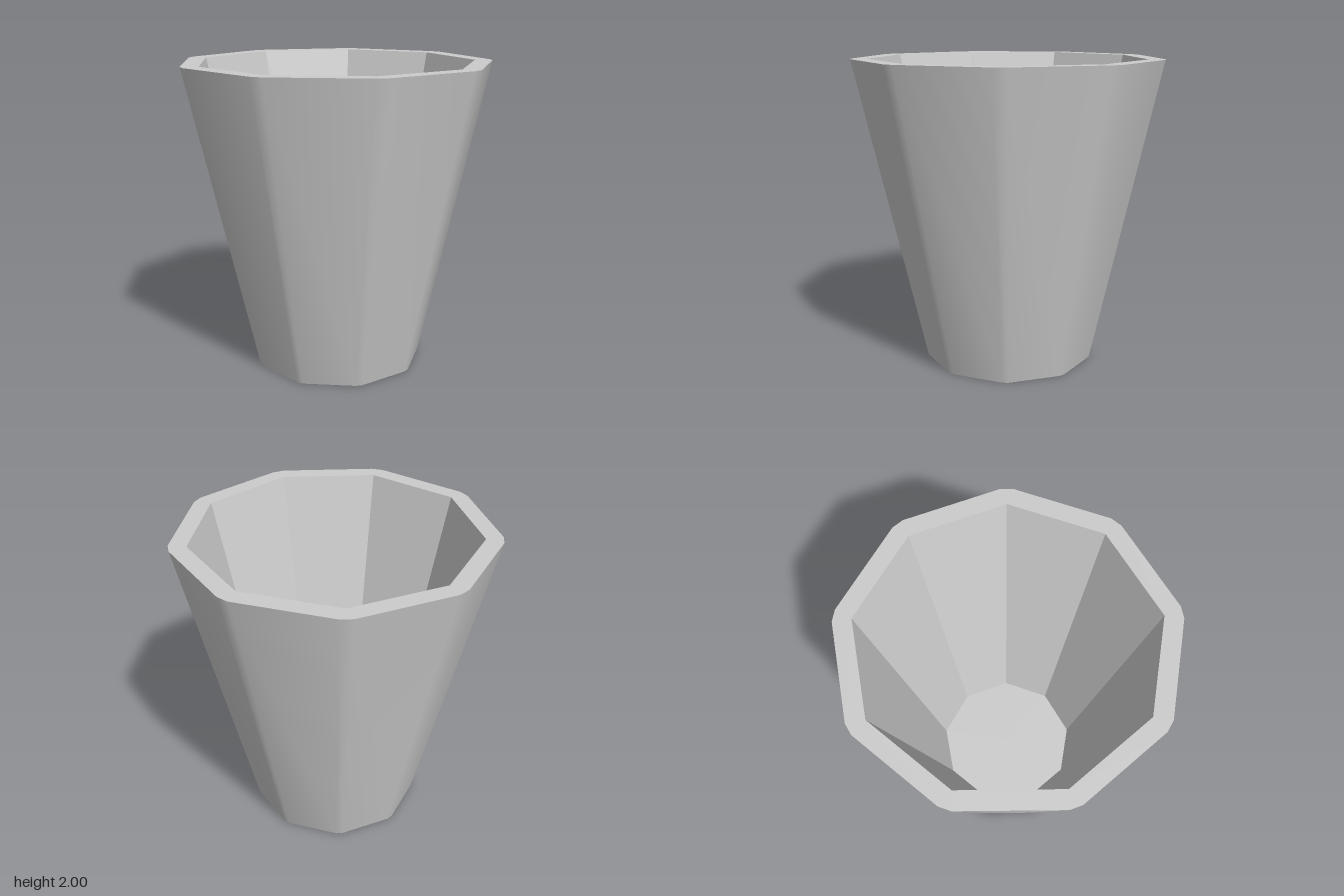
import * as THREE from 'three';
import { toCreasedNormals } from 'three/addons/utils/BufferGeometryUtils.js';

const SIDES = 9, RADIUS = 0.897, SHIFT = -0.022, WALL = 0.112;

// Nonagon pushed out by an offset, with every corner cut by a small bevel
function loop(scale, y, offset = 0) {
  const points = [];
  for (let i = 0; i < SIDES; i++) {
    const corner = (i / SIDES) * Math.PI * 2;
    for (const side of [-1, 1]) {
      const normal = corner + (side * Math.PI) / SIDES;
      points.push(new THREE.Vector3(
        scale * (RADIUS * Math.cos(corner) + SHIFT + offset * Math.cos(normal)),
        y,
        scale * (RADIUS * Math.sin(corner) + offset * Math.sin(normal))
      ));
    }
  }
  return points;
}

// Band of faces between two loops, leaving out collapsed triangles
function band(name, a, b, material) {
  const positions = [];
  const tri = (p, q, r) => {
    if (p.equals(q) || q.equals(r) || p.equals(r)) return;
    for (const v of [p, q, r]) positions.push(v.x, v.y, v.z);
  };
  for (let i = 0; i < a.length; i++) {
    const j = (i + 1) % a.length;
    tri(a[i], b[i], b[j]);
    tri(a[i], b[j], a[j]);
  }
  const geometry = new THREE.BufferGeometry();
  geometry.setAttribute('position', new THREE.Float32BufferAttribute(positions, 3));
  const mesh = new THREE.Mesh(toCreasedNormals(geometry, Math.PI / 6), material);
  mesh.name = name;
  return mesh;
}

export function createModel() {
  const group = new THREE.Group();
  group.name = 'taperedPot';
  const material = new THREE.MeshStandardMaterial({ color: 0xcccccc });

  // Loops run from the underside, round the outside and down into the cavity
  const recessCentre = loop(0, 0.07);
  const recessTop = loop(0.565, 0.07);
  const recessEdge = loop(0.565, 0);
  const outerBottom = loop(0.558, 0, WALL);
  const outerTop = loop(1, 2, WALL);
  const innerTop = loop(1, 2);
  const floorEdge = loop(0.523, 0.14);
  const floorCentre = loop(0, 0.14);

  group.add(
    band('underside', recessCentre, recessTop, material),
    band('recessWall', recessTop, recessEdge, material),
    band('footRing', recessEdge, outerBottom, material),
    band('outerWall', outerBottom, outerTop, material),
    band('rim', outerTop, innerTop, material),
    band('innerWall', innerTop, floorEdge, material),
    band('cavityFloor', floorEdge, floorCentre, material)
  );
  return group;
}
